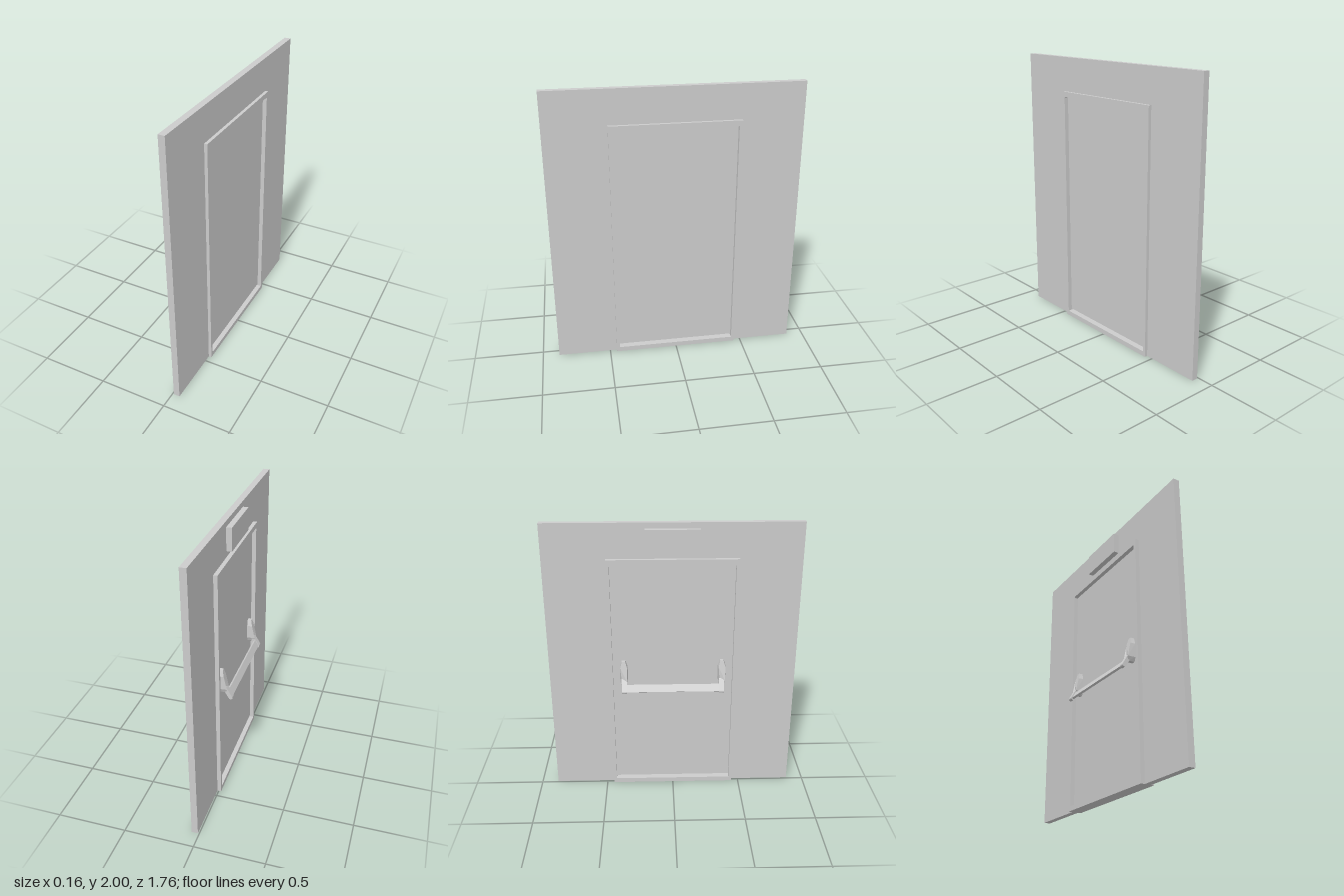
import * as THREE from 'three';

const material = new THREE.MeshStandardMaterial({ color: 0xcccccc, flatShading: true });

function add(parent, name, geometry) {
  const mesh = new THREE.Mesh(geometry, material);
  mesh.name = name;
  parent.add(mesh);
  return mesh;
}

// Box given by its limits on each axis
function box(x0, x1, y0, y1, z0, z1) {
  return new THREE.BoxGeometry(x1 - x0, y1 - y0, z1 - z0)
    .translate((x0 + x1) / 2, (y0 + y1) / 2, (z0 + z1) / 2);
}

const polygon = (points) => new THREE.Shape(points.map(([a, b]) => new THREE.Vector2(a, b)));

// Outline in the (z, y) plane, extruded from x0 to x1
function slab(shape, x0, x1) {
  return new THREE.ExtrudeGeometry(shape, { depth: x1 - x0, bevelEnabled: false, curveSegments: 4 })
    .rotateY(Math.PI / 2)
    .translate(x0, 0, 0);
}

// Elongated octagonal mount whose face slopes outward towards the bottom
function mountGeometry() {
  const rows = [[0.84, 0.014], [0.87, 0.028], [0.97, 0.028], [1.015, 0.014]];
  const depth = (y) => (y < 0.88 ? -0.036 - (y - 0.84) * 0.33 : -0.046 + (y - 0.87) * 0.22);
  const outline = [...rows.map(([y, w]) => [w, y]), ...rows.slice().reverse().map(([y, w]) => [-w, y])];
  const g = slab(polygon(outline), 0, 0.012);
  const p = g.attributes.position;
  for (let i = 0; i < p.count; i++) {
    if (p.getX(i) < 0.006) {
      p.setX(i, depth(p.getY(i)));
      p.setZ(i, p.getZ(i) * 0.85);
    }
  }
  g.computeVertexNormals();
  return g;
}

// Bar arm with rounded ends, tilted down and away from the door
const armTop = new THREE.Vector2(-0.026, 0.876);
const armEnd = new THREE.Vector2(-0.068, 0.803);
const tilt = Math.atan2(armEnd.x - armTop.x, armTop.y - armEnd.y);

function armGeometry() {
  const r = 0.014, length = armTop.distanceTo(armEnd);
  const s = new THREE.Shape();
  s.absarc(0, 0, r, 0, Math.PI, false);
  s.absarc(0, -length, r, Math.PI, Math.PI * 2, false);
  return new THREE.ExtrudeGeometry(s, { depth: 0.036, bevelEnabled: false, curveSegments: 8 })
    .translate(0, 0, -0.018)
    .rotateZ(tilt)
    .translate(armTop.x, armTop.y, 0);
}

export function createModel() {
  const model = new THREE.Group();
  model.name = 'emergencyExitDoor';

  // Wall with a doorway cut up from the floor
  const wall = polygon([[-0.88, 0], [-0.44, 0], [-0.44, 1.74], [0.44, 1.74], [0.44, 0],
    [0.88, 0], [0.88, 2], [-0.88, 2]]);
  add(model, 'wall', slab(wall, 0.01, 0.055));

  // Frame and sill in one piece, with slightly rounded upper inner corners
  const frame = polygon([[-0.45, 0], [0.45, 0], [0.45, 1.757], [-0.45, 1.757]]);
  const hole = new THREE.Path();
  hole.moveTo(-0.428, 0.035);
  hole.lineTo(-0.428, 1.71);
  hole.quadraticCurveTo(-0.428, 1.72, -0.418, 1.72);
  hole.lineTo(0.418, 1.72);
  hole.quadraticCurveTo(0.428, 1.72, 0.428, 1.71);
  hole.lineTo(0.428, 0.035);
  frame.holes.push(hole);
  add(model, 'doorFrame', slab(frame, -0.018, 0.077));

  // Door leaf, leaving a narrow gap over the sill
  add(model, 'doorLeaf', box(0.012, 0.047, 0.046, 1.722, -0.43, 0.43));

  // Box above the door
  add(model, 'signBox', box(-0.028, 0.01, 1.8, 1.96, -0.185, 0.185));

  // Push bar with a mount and an arm at each end
  const pushBar = new THREE.Group();
  pushBar.name = 'pushBar';
  model.add(pushBar);
  for (const side of [-1, 1]) {
    add(pushBar, 'barMount', mountGeometry()).position.z = side * 0.35;
    add(pushBar, 'barArm', armGeometry()).position.z = side * 0.347;
  }
  const bar = add(pushBar, 'bar', new THREE.BoxGeometry(0.016, 0.054, 0.67));
  bar.position.set(-0.056, 0.823, 0);
  bar.rotation.z = tilt;

  return model;
}
